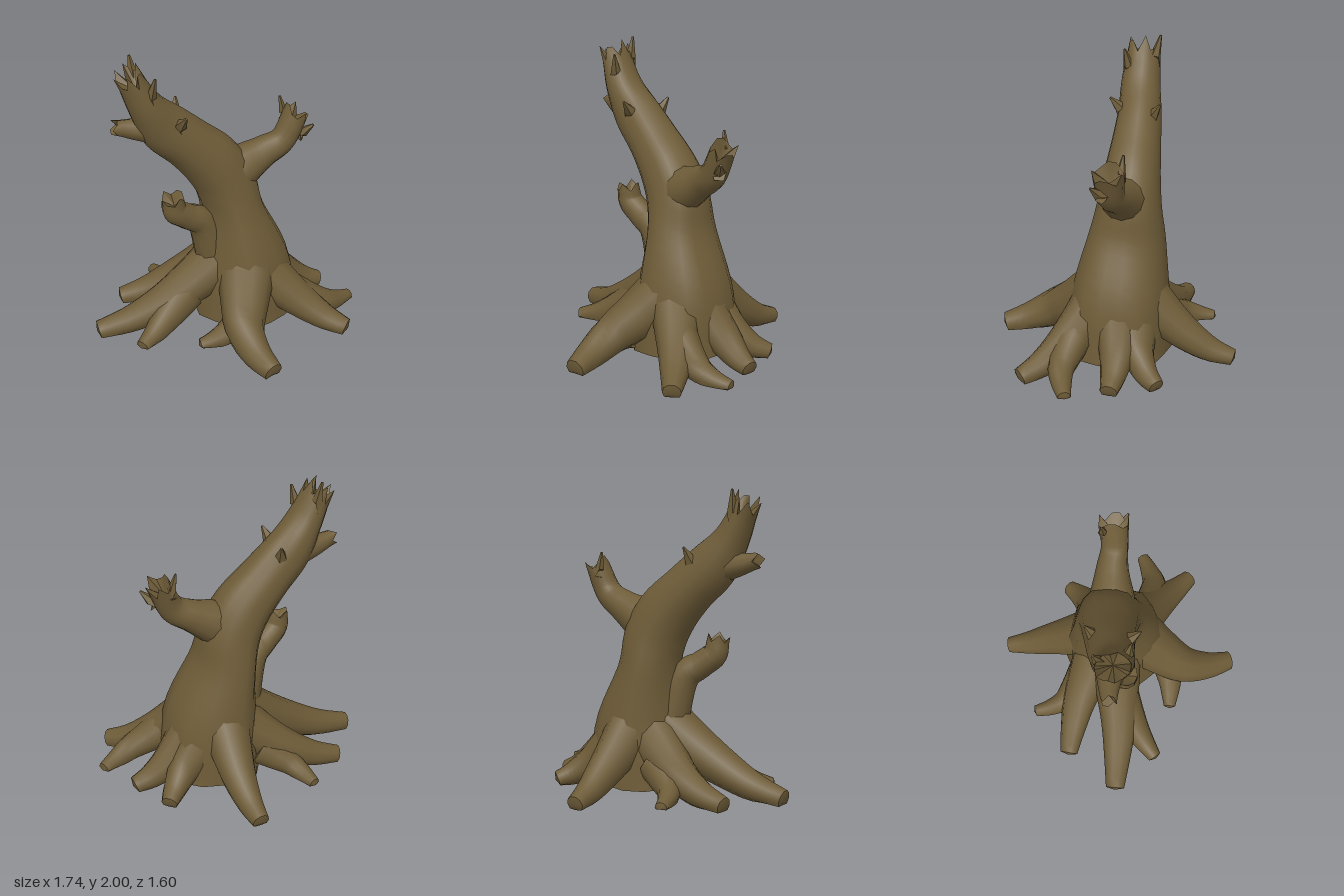
import * as THREE from 'three';
import { toCreasedNormals } from 'three/addons/utils/BufferGeometryUtils.js';

const bark = new THREE.MeshStandardMaterial({ color: 0x6e5c38 });
bark.name = 'bark brown';

const Y = new THREE.Vector3(0, 1, 0);
const Z = new THREE.Vector3(0, 0, 1);
const vec = p => new THREE.Vector3(p[0], p[1], p[2]);

// Sweeps an oval along stations [x, y, z, radiusA, radiusB]; radiusB runs along ref.
// jag is the length of the splinters round a broken end, recess sinks its middle.
function limb(name, stations, { sides = 10, steps = 14, ref = Z, jag = 0, recess = 0, flute = 0, floor = 0 } = {}) {
  const path = new THREE.CatmullRomCurve3(stations.map(vec), false, 'catmullrom');
  const size = new THREE.CatmullRomCurve3(stations.map(s => vec([s[3], s[4] ?? s[3], 0])), false, 'catmullrom');
  const pos = [], index = [];
  const put = p => pos.push(p.x, Math.max(p.y, floor), p.z);
  for (let i = 0; i <= steps; i++) {
    const t = i / steps;
    const c = path.getPoint(t), r = size.getPoint(t), dir = path.getTangent(t);
    const v = ref.clone().addScaledVector(dir, -ref.dot(dir)).normalize();
    const u = v.clone().cross(dir);
    for (let j = 0; j < sides; j++) {
      const a = (j / sides) * Math.PI * 2;
      const k = 1 + flute * (1 - t) * Math.cos(a * 5 + 0.6);
      const p = c.clone().addScaledVector(u, Math.cos(a) * r.x * k).addScaledVector(v, Math.sin(a) * r.y * k);
      if (i === steps) p.addScaledVector(dir, jag * (0.4 + 0.6 * Math.sin(j * 2.4 + 1)));
      put(p);
    }
  }
  for (let i = 0; i < steps; i++) {
    for (let j = 0; j < sides; j++) {
      const a = i * sides + j, b = i * sides + (j + 1) % sides;
      index.push(a, b, a + sides, b, b + sides, a + sides);
    }
  }
  // End caps
  const first = pos.length / 3, last = steps * sides;
  put(path.getPoint(0));
  put(path.getPoint(1).addScaledVector(path.getTangent(1), -recess));
  for (let j = 0; j < sides; j++) {
    const n = (j + 1) % sides;
    index.push(first, n, j, first + 1, last + j, last + n);
  }
  const g = new THREE.BufferGeometry();
  g.setAttribute('position', new THREE.Float32BufferAttribute(pos, 3));
  g.setIndex(index);
  const mesh = new THREE.Mesh(toCreasedNormals(g, 0.9), bark);
  mesh.name = name;
  return mesh;
}

// A root bends through three ground points [x, z], sinking and thinning towards its tip
function root(name, start, bend, tip, height, radius) {
  const plan = new THREE.CatmullRomCurve3([start, bend, tip].map(([x, z]) => vec([x, 0, z])));
  const stations = [0, 0.25, 0.5, 0.75, 1].map(t => {
    const p = plan.getPointAt(t);
    return [p.x, 0.04 + height * (1 - t) ** 1.55, p.z, radius * (1 - 0.66 * t)];
  });
  return limb(name, stations, { ref: Y, recess: -0.015, floor: height > 0.3 ? 0 : 0.03 });
}

// A thin pointed sliver of torn wood
function splinter(base, tip, radius) {
  return limb('splinter', [[...base, radius], [...tip, 0.008]], { sides: 5, steps: 2 });
}

export function createModel() {
  const tree = new THREE.Group();
  tree.name = 'deadTree';

  // Leaning trunk with a broken top
  tree.add(limb('trunk', [
    [0.19, 0.05, -0.02, 0.35, 0.36],
    [0.18, 0.42, -0.03, 0.31, 0.33],
    [0.115, 0.8, -0.07, 0.205, 0.26],
    [0.07, 1.02, -0.085, 0.205, 0.215],
    [-0.02, 1.19, -0.1, 0.2, 0.19],
    [-0.18, 1.36, -0.125, 0.175, 0.165],
    [-0.35, 1.52, -0.145, 0.165, 0.145],
    [-0.47, 1.69, -0.15, 0.115, 0.13],
    [-0.555, 1.87, -0.17, 0.085, 0.11],
  ], { sides: 16, steps: 36, flute: 0.05, recess: 0.07, jag: 0.1 }));

  // Broken branches
  tree.add(limb('leftBranch', [
    [0.02, 1.03, -0.08, 0.17], [0.17, 1.12, -0.05, 0.15], [0.32, 1.2, -0.02, 0.11],
    [0.45, 1.28, 0.02, 0.09], [0.53, 1.44, 0.03, 0.075, 0.1],
  ], { sides: 12, steps: 18, recess: 0.06, jag: 0.07 }));
  tree.add(limb('lowRightBranch', [
    [0.03, 0.3, -0.08, 0.16], [-0.1, 0.73, -0.07, 0.11],
    [-0.23, 0.845, -0.06, 0.09], [-0.325, 0.92, -0.055, 0.085], [-0.345, 1.01, -0.05, 0.075],
  ], { steps: 18, recess: 0.05, jag: 0.05 }));
  tree.add(limb('highRightStub', [
    [-0.4, 1.5, -0.16, 0.1], [-0.53, 1.525, -0.19, 0.075], [-0.65, 1.555, -0.215, 0.05],
  ], { sides: 8, steps: 8, ref: Y, recess: 0.03, jag: 0.04 }));

  // Splinters on the bark and round the broken ends
  tree.add(
    splinter([-0.24, 1.5, -0.21], [-0.19, 1.63, -0.28], 0.06),
    splinter([-0.3, 1.53, -0.05], [-0.29, 1.64, 0.05], 0.06),
    splinter([-0.48, 1.74, -0.08], [-0.455, 1.92, -0.04], 0.05),
    splinter([-0.5, 1.8, -0.23], [-0.51, 2, -0.28], 0.05),
    splinter([0.54, 1.31, 0.07], [0.61, 1.4, 0.14], 0.05),
    splinter([0.5, 1.4, -0.04], [0.47, 1.56, -0.06], 0.04),
  );

  // Roots, each starting inside the trunk or a bigger root
  tree.add(
    root('backRoot', [0.2, -0.2], [0.29, -0.5], [0.345, -0.79], 0.38, 0.17),
    root('backRightRoot', [0.1, -0.15], [-0.22, -0.37], [-0.54, -0.5], 0.36, 0.18),
    root('backForkRoot', [-0.02, -0.3], [-0.17, -0.48], [-0.19, -0.68], 0.16, 0.12),
    root('rightRoot', [0.05, -0.06], [-0.4, -0.11], [-0.85, -0.22], 0.42, 0.19),
    root('rightForkRoot', [-0.26, -0.07], [-0.46, 0], [-0.68, 0.1], 0.2, 0.14),
    root('frontRoot', [0.12, 0.12], [-0.08, 0.45], [-0.065, 0.77], 0.36, 0.2),
    root('frontForkRoot', [0, 0.31], [-0.16, 0.31], [-0.33, 0.275], 0.14, 0.12),
    root('frontLeftRoot', [0.22, 0.1], [0.46, 0.38], [0.625, 0.61], 0.36, 0.18),
    root('frontLeftForkRoot', [0.4, 0.27], [0.62, 0.34], [0.85, 0.305], 0.17, 0.13),
    root('leftRoot', [0.3, -0.02], [0.54, -0.02], [0.78, 0.025], 0.34, 0.17),
    root('backLeftRoot', [0.28, -0.13], [0.54, -0.17], [0.71, -0.28], 0.34, 0.16),
  );
  return tree;
}
